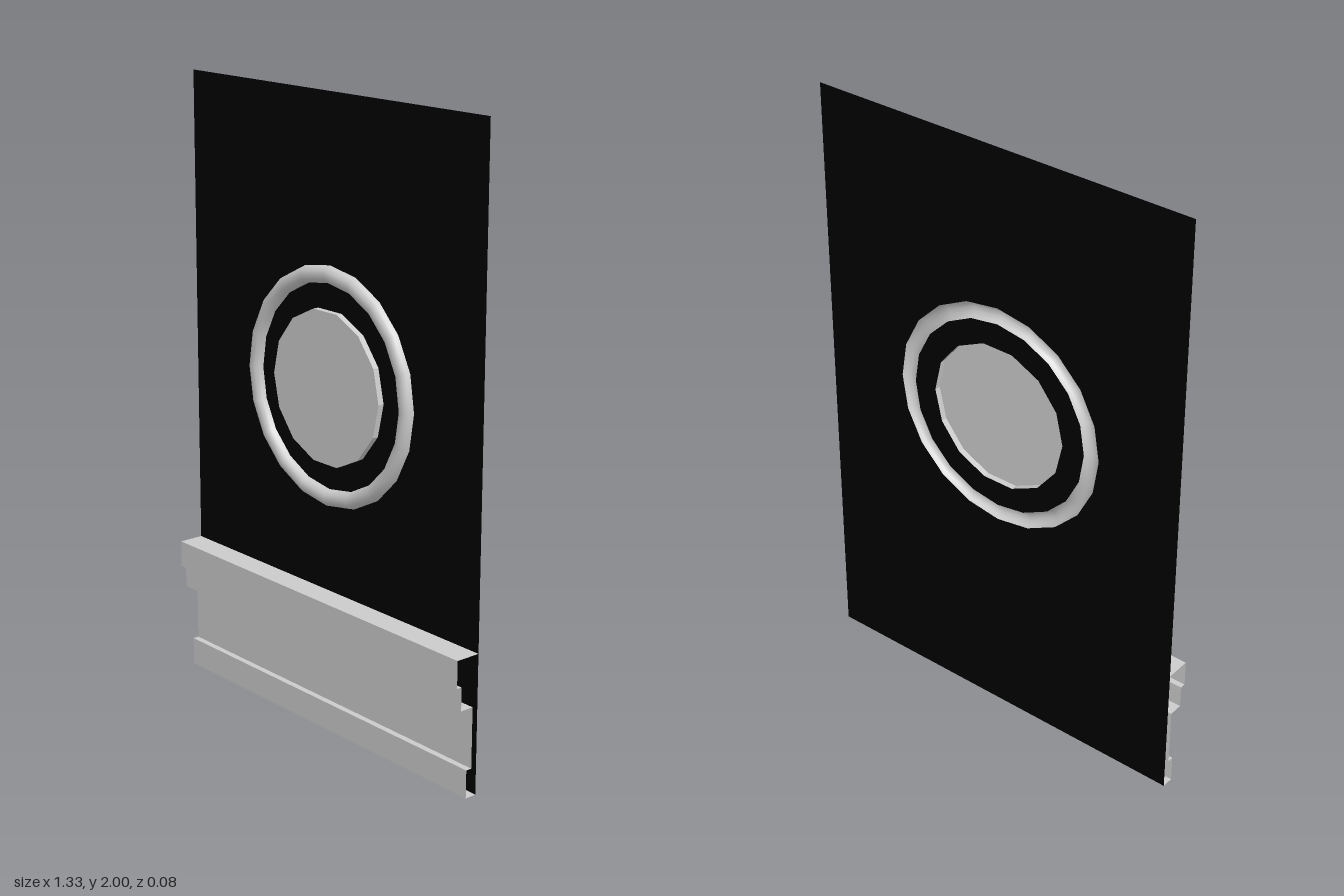
import * as THREE from 'three';

const HALF_W = 0.666, HEIGHT = 2, WALL_Z = -0.043, CENTRE_Y = 1.104;
const RING_OUT = 0.378, RING_IN = 0.324, RING_SIDES = 20;
const DISC_R = 0.245, DISC_SIDES = 14, RELIEF = 0.027;

const grey = (extra = {}) =>
  new THREE.MeshStandardMaterial({ color: 0xcccccc, side: THREE.DoubleSide, ...extra });

// corners of a regular polygon, first corner on +x
function polygon(radius, sides, cy = 0) {
  return Array.from({ length: sides }, (_, i) => {
    const a = (i / sides) * Math.PI * 2;
    return new THREE.Vector2(radius * Math.cos(a), cy + radius * Math.sin(a));
  });
}

// profile (radius, height) turned about the z axis, standing on the wall
function relief(name, profile, sides, material) {
  const geo = new THREE.LatheGeometry(profile, sides, Math.PI / 2);
  geo.rotateX(Math.PI / 2);
  const mesh = new THREE.Mesh(geo, material);
  mesh.name = name;
  mesh.position.set(0, CENTRE_Y, WALL_Z);
  return mesh;
}

// open strip: (z, y) profile swept along x
function sweepX(profile, halfWidth) {
  const pos = [], index = [];
  profile.forEach(([z, y], i) => {
    pos.push(-halfWidth, y, z, halfWidth, y, z);
    if (i) {
      const a = 2 * (i - 1);
      index.push(a, a + 1, a + 3, a, a + 3, a + 2);
    }
  });
  const indexed = new THREE.BufferGeometry();
  indexed.setAttribute('position', new THREE.Float32BufferAttribute(pos, 3));
  indexed.setIndex(index);
  const geo = indexed.toNonIndexed();
  geo.computeVertexNormals();
  return geo;
}

export function createModel() {
  const group = new THREE.Group();
  const black = new THREE.MeshStandardMaterial({ color: 0x000000, side: THREE.DoubleSide });

  // thin wall panel, cut out behind the ring
  const panel = new THREE.Shape([
    new THREE.Vector2(-HALF_W, 0), new THREE.Vector2(HALF_W, 0),
    new THREE.Vector2(HALF_W, HEIGHT), new THREE.Vector2(-HALF_W, HEIGHT),
  ]);
  panel.holes.push(new THREE.Path(polygon(RING_OUT, RING_SIDES, CENTRE_Y).reverse()));
  const wall = new THREE.Mesh(new THREE.ShapeGeometry(panel), black);
  wall.name = 'wallPanel';
  wall.position.z = WALL_Z;

  // flat band between ring and disc
  const band = new THREE.Shape(polygon(RING_IN, RING_SIDES, CENTRE_Y));
  band.holes.push(new THREE.Path(polygon(DISC_R, DISC_SIDES, CENTRE_Y).reverse()));
  const innerBand = new THREE.Mesh(new THREE.ShapeGeometry(band), black);
  innerBand.name = 'innerBand';
  innerBand.position.z = WALL_Z;

  // hollow half-round ring
  const mid = (RING_OUT + RING_IN) / 2, half = (RING_OUT - RING_IN) / 2;
  const arc = Array.from({ length: 7 }, (_, i) => {
    const a = (i / 6) * Math.PI;
    return new THREE.Vector2(mid + half * Math.cos(a), RELIEF * Math.sin(a));
  });
  const ring = relief('ringMoulding', arc, RING_SIDES, grey());

  // shallow raised disc, open at the back
  const disc = relief('centreDisc', [
    new THREE.Vector2(DISC_R, 0), new THREE.Vector2(DISC_R, 0.02), new THREE.Vector2(0, 0.02),
  ], DISC_SIDES, grey({ flatShading: true }));

  // stepped baseboard, open at both ends
  const baseboard = new THREE.Mesh(sweepX([
    [WALL_Z, 0], [-0.004, 0], [-0.004, 0.09], [-0.024, 0.09], [-0.024, 0.285],
    [0.022, 0.285], [0.022, 0.36], [0.04, 0.36], [0.04, 0.447], [WALL_Z, 0.447],
  ], HALF_W), grey());
  baseboard.name = 'baseboard';

  group.add(wall, innerBand, ring, disc, baseboard);
  return group;
}
